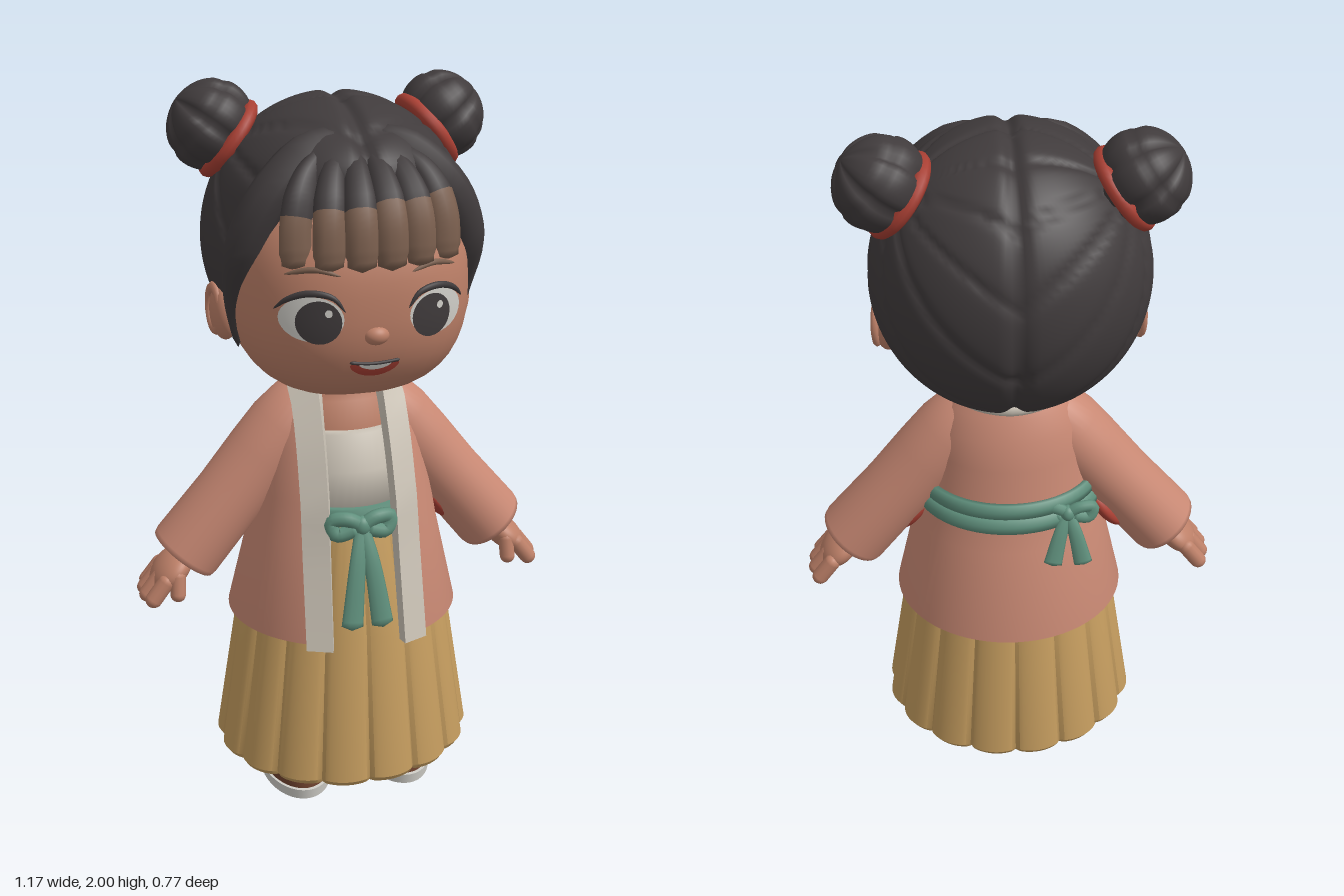
import * as THREE from 'three';
import { mergeVertices, toCreasedNormals } from 'three/addons/utils/BufferGeometryUtils.js';

const V = (x, y, z) => new THREE.Vector3(x, y, z);
const paint = (name, color, side = THREE.FrontSide) => {
  const m = new THREE.MeshStandardMaterial({ color, side });
  m.name = name;
  return m;
};

export function createModel() {
  const root = new THREE.Group();
  root.name = 'girl';
  const skin = paint('skin', 0xbd8068), pink = paint('pink jacket', 0xc98974, THREE.DoubleSide);
  const cream = paint('cream', 0xcac2b5), gold = paint('gold', 0xc39b5e);
  const teal = paint('teal', 0x5f8f7c, THREE.DoubleSide), hair = paint('dark hair', 0x403b3c);
  const red = paint('red', 0xa83f33), brown = paint('shoe brown', 0x70432f);
  const tip = paint('fringe brown', 0x7c604f), white = paint('soft white', 0xd0cec8);

  const add = (name, geo, mat, pos) => {
    const m = new THREE.Mesh(geo, mat);
    m.name = name;
    if (pos) m.position.copy(pos);
    root.add(m);
    return m;
  };
  const aim = (mesh, dir) => mesh.quaternion.setFromUnitVectors(V(0, 1, 0), dir.clone().normalize());
  const smooth = (g) => {
    g.deleteAttribute('uv');
    g.deleteAttribute('normal');
    const out = mergeVertices(g, 1e-5);
    out.computeVertexNormals();
    return out;
  };
  const reshape = (g, fn) => {
    const p = g.attributes.position, v = V(0, 0, 0);
    for (let i = 0; i < p.count; i++) {
      fn(v.fromBufferAttribute(p, i), i);
      p.setXYZ(i, v.x, v.y, v.z);
    }
    return smooth(g);
  };
  const blob = (name, mat, pos, rx, ry, rz, fn = () => {}) =>
    add(name, reshape(new THREE.SphereGeometry(1, 48, 28), (v) => { fn(v); v.multiply(V(rx, ry, rz)); }), mat, pos);

  // Tapered tube along a curve, optionally flattened in z
  const strand = (name, pts, r, mat, profile = () => 1, flat = 1) => {
    const n = 24, radial = 10, curve = new THREE.CatmullRomCurve3(pts);
    const g = reshape(new THREE.TubeGeometry(curve, n, r, radial), (v, i) => {
      const t = Math.floor(i / (radial + 1)) / n, c = curve.getPointAt(t);
      const k = t === 0 || t === 1 ? 0 : profile(t);
      v.sub(c).multiply(V(k, k, k * flat)).add(c);
    });
    return add(name, g, mat);
  };
  // Skin a list of cross-sections
  const loft = (rows, closed, capped) => {
    if (capped) {
      const flatRow = (row) => {
        const c = row.reduce((a, p) => a.add(p), V(0, 0, 0)).divideScalar(row.length);
        return row.map(() => c.clone());
      };
      rows = [flatRow(rows[0]), ...rows, flatRow(rows[rows.length - 1])];
    }
    const n = rows[0].length, index = [];
    for (let i = 0; i < rows.length - 1; i++)
      for (let j = 0; j < (closed ? n : n - 1); j++) {
        const k = (j + 1) % n, a = i * n, b = a + n;
        index.push(a + j, a + k, b + k, a + j, b + k, b + j);
      }
    const g = new THREE.BufferGeometry().setFromPoints(rows.flat());
    g.setIndex(index);
    g.computeVertexNormals();
    return g;
  };
  const ellipseRow = ([y, rx, rz, zc], a0, a1, n, fn = () => 1) => Array.from({ length: n }, (_, j) => {
    const a = a0 + (a1 - a0) * j / n, k = fn(a);
    return V(rx * k * Math.sin(a), y, zc + rz * k * Math.cos(a));
  });
  const ovalBody = (name, rows, mat) => add(name, loft(rows.map((r) => ellipseRow(r, 0, Math.PI * 2, 48)), true, true), mat);

  // Head: squarish ball with a shallower back
  const HC = V(0, 1.5, 0.03), HX = 0.315, HY = 0.295, HZ = 0.33, P = 2.5;
  const faceZ = (x, y) => HC.z + HZ * Math.max(0, 1 - Math.abs(x / HX) ** P - Math.abs((y - HC.y) / HY) ** P) ** (1 / P);
  blob('head', skin, HC, HX, HY, HZ, (v) => {
    v.divideScalar((Math.abs(v.x) ** P + Math.abs(v.y) ** P + Math.abs(v.z) ** P) ** (1 / P));
    if (v.z < 0) v.z *= 0.6;
  });
  blob('nose', skin, V(0, 1.435, 0.345), 0.034, 0.026, 0.03);

  // Painted face details laid on the head surface
  const patch = (name, mat, cx, cy, rx, ry, lift, bend = 0) =>
    add(name, reshape(new THREE.RingGeometry(0.001, 1, 28, 5), (v) => {
      const x = cx + v.x * rx, y = cy + v.y * ry + bend * v.x * v.x;
      v.set(x, y, faceZ(x, y) + lift);
    }), mat);
  const facePath = (pts, lift) => pts.map(([x, y]) => V(x, y, faceZ(x, y) + lift));
  patch('mouth', red, 0, 1.34, 0.064, 0.021, 0.003, 0.014);
  patch('teeth', white, 0, 1.349, 0.042, 0.008, 0.006, 0.008);
  strand('upperLip', facePath([[-0.066, 1.364], [-0.03, 1.36], [0, 1.358], [0.03, 1.36], [0.066, 1.364]], 0.002), 0.0045, hair);

  const taper = (t) => Math.sin(Math.PI * t) ** 0.6;
  const BUN = V(0.317, 1.887, -0.135), AXIS = V(0.78, 0.6, -0.08).normalize();
  for (const s of [1, -1]) {
    patch('eyeWhite', white, s * 0.16, 1.482, 0.076, 0.058, 0.003);
    patch('iris', hair, s * 0.145, 1.475, 0.055, 0.056, 0.006);
    patch('eyeGlint', white, s * 0.145 + 0.022, 1.5, 0.009, 0.01, 0.009);
    strand('eyelash', facePath([[s * 0.08, 1.5], [s * 0.11, 1.537], [s * 0.165, 1.548], [s * 0.215, 1.53], [s * 0.245, 1.5]], 0.002), 0.009, hair, taper);
    strand('eyebrow', facePath([[s * 0.09, 1.59], [s * 0.15, 1.605], [s * 0.22, 1.59]], 0.001), 0.008, tip, taper);
    blob('ear', skin, V(s * 0.318, 1.425, 0.005), 0.04, 0.08, 0.06);
    const rim = add('earRim', new THREE.TorusGeometry(0.045, 0.013, 8, 24), skin, V(s * 0.345, 1.43, 0));
    rim.rotation.y = Math.PI / 2 - s * 0.2;
    rim.scale.set(0.9, 1.25, 0.8);

    // Front hair sweep and sideburn
    strand('hairSweep', [V(s * 0.02, 1.88, 0.13), V(s * 0.13, 1.85, 0.16), V(s * 0.232, 1.755, 0.185), V(s * 0.287, 1.63, 0.16),
      V(s * 0.305, 1.48, 0.095), V(s * 0.296, 1.34, 0.07)], 0.056, hair, (t) => Math.min(1, 0.7 + 2 * t, 0.15 + (1 - t) * 2));

    // Lobed bun and its tie
    const bun = blob('hairBun', hair, V(s * BUN.x, BUN.y, BUN.z), 0.122, 0.11, 0.122, (v) => {
      const seam = (1 - Math.abs(Math.cos(3 * Math.atan2(v.z, v.x)))) ** 2.5;
      const belt = Math.exp(-(((v.y - 0.35) / 0.1) ** 2));
      v.multiplyScalar(1 - 0.13 * seam * (1 - Math.abs(v.y) ** 8) - 0.04 * belt);
    });
    aim(bun, V(s * AXIS.x, AXIS.y, AXIS.z));
    const tie = add('hairTie', new THREE.TorusGeometry(0.098, 0.02, 10, 40).rotateX(Math.PI / 2), red, V(s * 0.272, 1.85, -0.125));
    aim(tie, V(s * AXIS.x, AXIS.y, AXIS.z));
  }

  // Hair mass, fuller above the forehead, with a centre parting and grooves running to the buns
  const mass = new THREE.SphereGeometry(1, 128, 80);
  add('hairMass', reshape(mass, (v) => {
    const crown = 0.1 * THREE.MathUtils.smoothstep(v.y, 0.25, 0.75);
    v.multiply(V(0.358, 0.372, v.z > 0 ? 0.35 + crown : 0.325));
    const s = v.x < 0 ? -1 : 1;
    const dx = v.x - s * 0.26, dy = v.y - 0.23, dz = v.z + 0.06;
    const ang = Math.atan2(-0.6 * s * dx + 0.78 * dy, dz);
    const groove = 0.028 * (1 - Math.abs(Math.sin(5 * ang + 0.4))) ** 4;
    const part = 0.045 * Math.exp(-((v.x / 0.02) ** 2));
    v.multiplyScalar(1.012 - groove - part);
  }), hair, V(0, 1.598, -0.06));

  // Fringe: dark roots, lighter ends
  for (let i = 0; i < 6; i++) {
    const x = (i - 2.5) * 0.074, c = 0.06 * (x / 0.18) ** 2;
    const lock = strand('fringeLock', [V(x * 0.45, 1.87, 0.18), V(x * 0.82, 1.81, 0.28 - c * 0.6), V(x, 1.72, 0.345 - c), V(x * 1.03, 1.597, 0.357 - c)],
      0.042, [hair, tip], (t) => Math.min(1, 0.5 + t) * (t > 0.9 ? 0.88 : 1), 0.65);
    const cut = Math.round(24 * (0.62 - i * 0.02)) * 60;
    lock.geometry.addGroup(0, cut, 0);
    lock.geometry.addGroup(cut, Infinity, 1);
  }

  // Neck, bodice and waistband
  ovalBody('neck', [[1.0, 0.16, 0.13, 0], [1.1, 0.165, 0.135, -0.005], [1.17, 0.15, 0.105, -0.01], [1.21, 0.11, 0.09, -0.01], [1.27, 0.09, 0.09, -0.01]], skin);
  ovalBody('bodice', [[0.87, 0.19, 0.2, 0.01], [1.0, 0.185, 0.18, 0.01], [1.095, 0.172, 0.15, 0.003], [1.1, 0.16, 0.135, 0]], cream);
  ovalBody('waistband', [[0.865, 0.2, 0.212, 0.01], [0.87, 0.205, 0.218, 0.01], [0.9, 0.2, 0.211, 0.01], [0.905, 0.19, 0.205, 0.01]], teal);

  // Pleated skirt
  const pleats = (depth) => (a) => 1 - depth * (1 - Math.abs(Math.sin(8 * a)) ** 0.55);
  const skirtRows = [[0.13, 0.3, 0.27, 0.01, 0.03], [0.11, 0.362, 0.33, 0.01, 0.06], [0.125, 0.372, 0.339, 0.01, 0.06], [0.55, 0.304, 0.286, 0.01, 0.045],
    [0.8, 0.225, 0.23, 0.01, 0.03], [0.885, 0.19, 0.205, 0.01, 0.01]];
  add('skirt', toCreasedNormals(loft(skirtRows.map((r) => ellipseRow(r, 0, Math.PI * 2, 192, pleats(r[4]))), true, true), 0.6), gold);

  // Open jacket
  const coat = [[0.54, 0.328, 0.303, 0.006], [0.8, 0.268, 0.238, 0.015], [0.92, 0.245, 0.215, 0.018], [1.05, 0.222, 0.185, 0.003],
    [1.13, 0.205, 0.155, -0.008], [1.19, 0.172, 0.127, -0.01], [1.22, 0.145, 0.11, -0.01]];
  const coatAt = (y, a, off) => {
    let i = 0;
    while (i < coat.length - 2 && y > coat[i + 1][0]) i++;
    const t = (y - coat[i][0]) / (coat[i + 1][0] - coat[i][0]);
    const [rx, rz, zc] = [1, 2, 3].map((k) => THREE.MathUtils.lerp(coat[i][k], coat[i + 1][k], t));
    return V((rx + off) * Math.sin(a), y, zc + (rz + off) * Math.cos(a));
  };
  const angleAt = (x, y) => Math.asin(Math.min(1, x / coatAt(y, Math.PI / 2, 0.01).x));
  add('jacket', loft([[0.55, 0.295, 0.268, 0.006], ...coat].map((r) => {
    const a = Math.asin(0.125 / r[1]);
    return ellipseRow(r, a, Math.PI * 2 - a + 0.02, 64);
  }), false), pink);

  // Lapels
  for (const s of [1, -1]) {
    const rows = [];
    for (let i = 0; i <= 14; i++) {
      const y = 0.53 + i * 0.0493, w = 0.015 * (1 - i / 14);
      const a = [s * angleAt(0.085 + w, y), s * angleAt(0.152 + w, y)].sort((p, q) => p - q);
      rows.push([coatAt(y, a[0], 0.017), coatAt(y, a[1], 0.017), coatAt(y, a[1], -0.012), coatAt(y, a[0], -0.012)]);
    }
    add('lapel', toCreasedNormals(loft(rows, true, true), 0.6), cream);
  }
  strand('collar', [V(0.108, 1.19, 0.06), V(0.13, 1.212, 0.005), V(0.1, 1.222, -0.085), V(0, 1.222, -0.125),
    V(-0.1, 1.222, -0.085), V(-0.13, 1.212, 0.005), V(-0.108, 1.19, 0.06)], 0.022, cream);

  // Back sash in two bands
  for (const y of [0.868, 0.912]) {
    const rows = [];
    for (let i = 0; i <= 30; i++) {
      const a = Math.PI * (0.53 + 0.94 * i / 30);
      rows.push([coatAt(y, a, -0.005), coatAt(y, a, 0.012), coatAt(y + 0.022, a, 0.018), coatAt(y + 0.042, a, 0.012), coatAt(y + 0.042, a, -0.005)]);
    }
    add('backSash', loft(rows, true, true), teal);
  }

  // Bows: knot, two loops, two tails
  const bow = (name, c, k, tails, out) => {
    blob(name + 'Knot', teal, c, 0.024 * k, 0.028 * k, 0.022);
    for (const s of [1, -1]) {
      strand(name + 'Loop', [c.clone(), c.clone().add(V(s * 0.04 * k, 0.022 * k, 0)), c.clone().add(V(s * 0.082 * k, 0.014 * k, -out * 0.2)),
        c.clone().add(V(s * 0.07 * k, -0.022 * k, -out * 0.1)), c.clone().add(V(s * 0.01, -0.008, 0))], 0.021 * k, teal, () => 1, 0.8);
      strand(name + 'Tail', [c.clone(), c.clone().add(V(s * 0.02, -tails * 0.35, out * 0.5)), c.clone().add(V(s * 0.044, -tails, out))],
        0.031 * k, teal, (t) => 0.6 + 0.4 * t, 0.45);
    }
  };
  bow('frontBow', V(-0.005, 0.868, 0.245), 1, 0.28, 0.065);
  bow('backBow', V(-0.15, 0.905, -0.18), 0.85, 0.15, -0.045);

  // Arms, hands and feet
  const sleeve = [[0, -0.17], [0.055, -0.155], [0.09, -0.08], [0.102, 0], [0.102, 0.1], [0.098, 0.25], [0.102, 0.445], [0.099, 0.46], [0.085, 0.46], [0.075, 0.42], [0, 0.42]];
  for (const s of [1, -1]) {
    const down = V(s * 0.638, -0.77, 0);
    const arm = add('sleeve', new THREE.LatheGeometry(sleeve.map(([r, h]) => new THREE.Vector2(r, h)), 32), pink, V(s * 0.16, 1.08, -0.005));
    aim(arm, down);
    arm.scale.z = 1.05;
    const lining = blob('underarmLining', red, V(s * 0.27, 0.826, s > 0 ? -0.005 : -0.03), 0.03, 0.09, 0.064);
    lining.rotation.z = s * 0.65;

    const palm = blob('palm', skin, V(s * 0.492, 0.686, 0), 0.042, 0.072, 0.082);
    aim(palm, V(s * 0.75, -0.66, 0));
    [-0.068, -0.024, 0.02, 0.062].forEach((z, i) => {
      const finger = add('finger', new THREE.CapsuleGeometry(0.0235, 0.06, 6, 12), skin, V(s * (0.545 - (i % 3 ? 0 : 0.012)), 0.648, z));
      aim(finger, V(s * 0.6, -0.78, z * 0.7));
    });
    const thumb = add('thumb', new THREE.CapsuleGeometry(0.022, 0.05, 6, 12), skin, V(s * 0.483, 0.662, 0.068));
    aim(thumb, V(s * 0.05, -0.9, 0.2));

    const sole = add('sole', new THREE.CylinderGeometry(1, 0.97, 0.032, 40), white, V(s * 0.152, 0.016, 0.04));
    sole.scale.set(0.103, 1, 0.18);
    blob('shoe', brown, V(s * 0.152, 0.03, 0.037), 0.097, 0.088, 0.172, (v) => {
      if (v.y < 0) v.y *= 0.1;
      else v.y = v.y ** 0.55;
    });
    const leg = add('leg', new THREE.CylinderGeometry(0.075, 0.085, 0.16, 24), brown, V(s * 0.152, 0.12, -0.02));
    leg.scale.z = 1.2;
  }
  return root;
}
